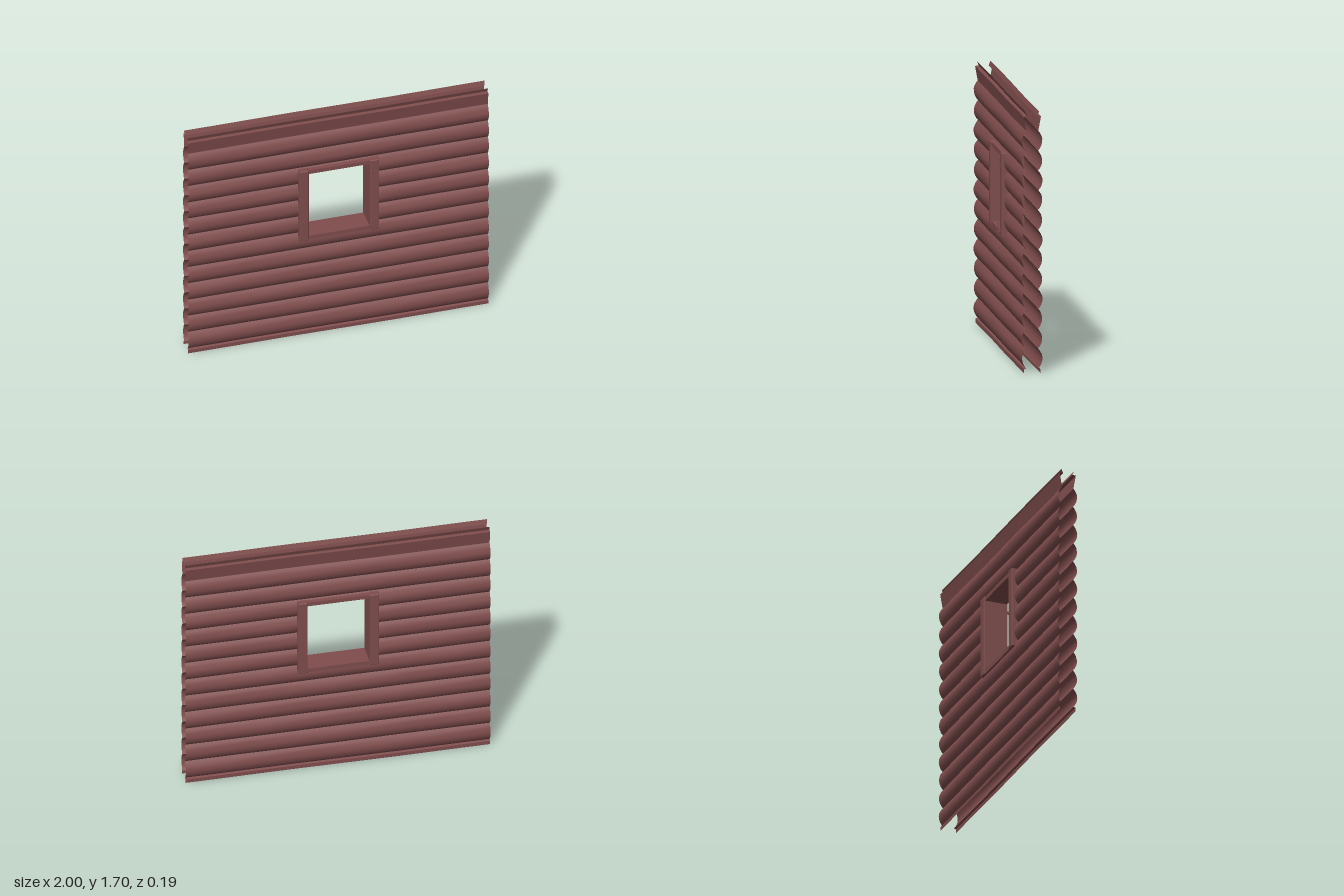
import * as THREE from 'three';
import { toCreasedNormals } from 'three/addons/utils/BufferGeometryUtils.js';
import { RoundedBoxGeometry } from 'three/addons/geometries/RoundedBoxGeometry.js';

const MID = -0.01;                      // centre plane of the wall
const PITCH = 0.1285, FIRST = 0.0315;   // log spacing and first groove
const HOLE = { x: 0.235, y0: 0.775, y1: 1.295 };

const material = new THREE.MeshStandardMaterial({ color: 0x804d4d, side: THREE.DoubleSide });

// Height / depth pairs of one siding face, from bottom lip to top tongue
function sidingProfile() {
  const depth = (y) => {
    const t = ((y - FIRST) / PITCH) % 1;
    return 0.039 + 0.027 * Math.pow(Math.abs(Math.sin(Math.PI * t)), 0.8);
  };
  const ys = [HOLE.y0, HOLE.y1];
  for (let i = 0; i <= 12 * 10; i++) {
    const y = FIRST + (i / 10) * PITCH;
    if (y < 1.665) ys.push(y);
  }
  ys.sort((a, b) => a - b);
  const rows = ys.map((y) => [y, depth(y)]);
  return [[0, 0.053], [0.026, 0.053], ...rows, [1.668, 0.056], [1.67, 0.032], [1.7, 0.044]];
}

// Corrugated sheet with a rectangular opening; side is +1 front, -1 back
function siding(side) {
  const rows = sidingProfile();
  const xs = [-1, -0.8, -0.6, -0.4, -HOLE.x, 0, HOLE.x, 0.4, 0.6, 0.8, 1];
  const pos = [], index = [], n = xs.length;
  rows.forEach(([y, d], r) => {
    for (const x of xs) {
      const wobble = 0.0015 * Math.sin(x * 5 + Math.floor(r / 10) * 2.1);
      pos.push(x * side, y, MID + side * (d + wobble));
    }
  });
  for (let r = 0; r < rows.length - 1; r++) {
    const cy = (rows[r][0] + rows[r + 1][0]) / 2;
    for (let c = 0; c < n - 1; c++) {
      const cx = (xs[c] + xs[c + 1]) / 2;
      if (Math.abs(cx) < HOLE.x && cy > HOLE.y0 && cy < HOLE.y1) continue;
      const a = r * n + c, b = a + 1, d = a + n, e = d + 1;
      index.push(a, b, e, a, e, d);
    }
  }
  const geo = new THREE.BufferGeometry();
  geo.setAttribute('position', new THREE.Float32BufferAttribute(pos, 3));
  geo.setIndex(index);
  return toCreasedNormals(geo, 0.6);
}

export function createModel() {
  const model = new THREE.Group();
  model.name = 'logWallWithWindow';
  const add = (parent, name, geo, x = 0, y = 0, z = 0) => {
    const mesh = new THREE.Mesh(geo, material);
    mesh.name = name;
    mesh.position.set(x, y, z);
    parent.add(mesh);
    return mesh;
  };

  // Log siding on both faces
  add(model, 'frontSiding', siding(1));
  add(model, 'backSiding', siding(-1));

  // Window frame: two deep posts with slightly shallower rails between
  const frame = new THREE.Group();
  frame.name = 'windowFrame';
  model.add(frame);
  for (const s of [1, -1]) {
    add(frame, s > 0 ? 'leftPost' : 'rightPost',
      new RoundedBoxGeometry(0.063, 0.55, 0.167, 1, 0.006), s * 0.2345, 1.035, MID);
    add(frame, s > 0 ? 'topRail' : 'bottomRail',
      new THREE.BoxGeometry(0.42, 0.028, 0.15), 0, 1.035 + s * 0.259, MID);
  }

  // Shutter hinge hooks on the left post
  for (const y of [0.79, 1.215]) {
    const hook = new THREE.Group();
    hook.name = y > 1 ? 'upperHinge' : 'lowerHinge';
    hook.position.set(0.214, y, 0);
    model.add(hook);
    add(hook, 'hingeArm', new THREE.BoxGeometry(0.014, 0.016, 0.024), 0, 0.01, 0.0795);
    add(hook, 'hingePin', new THREE.CylinderGeometry(0.005, 0.007, 0.065, 8), 0, 0.0325, 0.0865);
  }
  return model;
}
